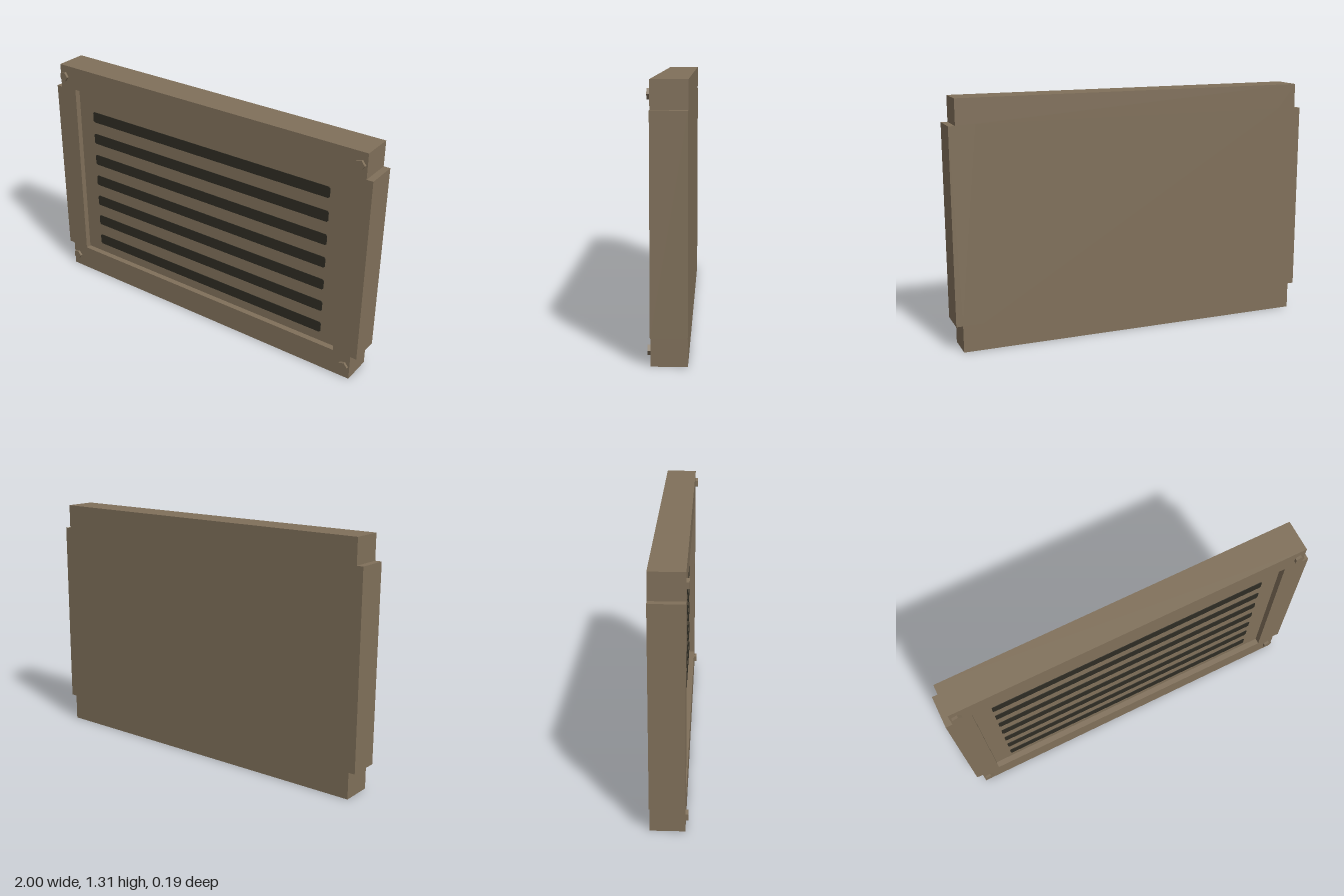
import * as THREE from 'three';

const BACK = -0.093, FACE = 0.079, RECESS = 0.047, TOP = 1.31;

export function createModel() {
  const model = new THREE.Group();
  const metal = new THREE.MeshStandardMaterial({ color: 0x80705a });
  metal.name = 'tan metal';
  const dark = new THREE.MeshStandardMaterial({ color: 0x2e2c23 });
  dark.name = 'dark slot';

  const add = (name, geometry, material, x, y, z) => {
    const mesh = new THREE.Mesh(geometry, material);
    mesh.name = name;
    mesh.position.set(x, y, z);
    model.add(mesh);
  };
  const points = (list) => list.map(([x, y]) => new THREE.Vector2(x, y));

  // Frame with side tabs and a rectangular opening
  const half = [[0.965, 0], [0.965, 0.142], [1, 0.142], [1, 1.175], [0.965, 1.175], [0.965, TOP]];
  const mirrored = half.map(([x, y]) => [-x, y]).reverse();
  const outline = new THREE.Shape(points([...half, ...mirrored]));
  const px = 0.863, py0 = 0.142, py1 = 1.18;
  outline.holes.push(new THREE.Path(points([[-px, py0], [-px, py1], [px, py1], [px, py0]])));
  const frame = new THREE.ExtrudeGeometry(outline, { depth: FACE - BACK, bevelEnabled: false });
  add('frame', frame, metal, 0, 0, BACK);

  // Recessed panel closing the opening, flush with the frame at the back
  add('recessedPanel', new THREE.BoxGeometry(px * 2, py1 - py0, RECESS - BACK), metal,
    0, (py0 + py1) / 2, (RECESS + BACK) / 2);

  // Painted vent slots with slightly clipped corners
  const w = 0.765, h = 0.031, c = 0.008;
  const slot = new THREE.ExtrudeGeometry(new THREE.Shape(points([
    [-w + c, -h], [w - c, -h], [w, -h + c], [w, h - c],
    [w - c, h], [-w + c, h], [-w, h - c], [-w, -h + c],
  ])), { depth: 0.003, bevelEnabled: false });
  for (let i = 0; i < 7; i++) add('ventSlot', slot, dark, 0, 0.227 + i * 0.1337, RECESS);

  // Five-sided corner bolts
  const bolt = new THREE.CylinderGeometry(0.027, 0.027, 0.02, 5, 1, false, Math.PI / 2).toNonIndexed();
  bolt.rotateX(Math.PI / 2);
  bolt.computeVertexNormals();
  for (const x of [-0.934, 0.93])
    for (const y of [0.072, 1.245]) add('cornerBolt', bolt, metal, x, y, 0.083);

  return model;
}
